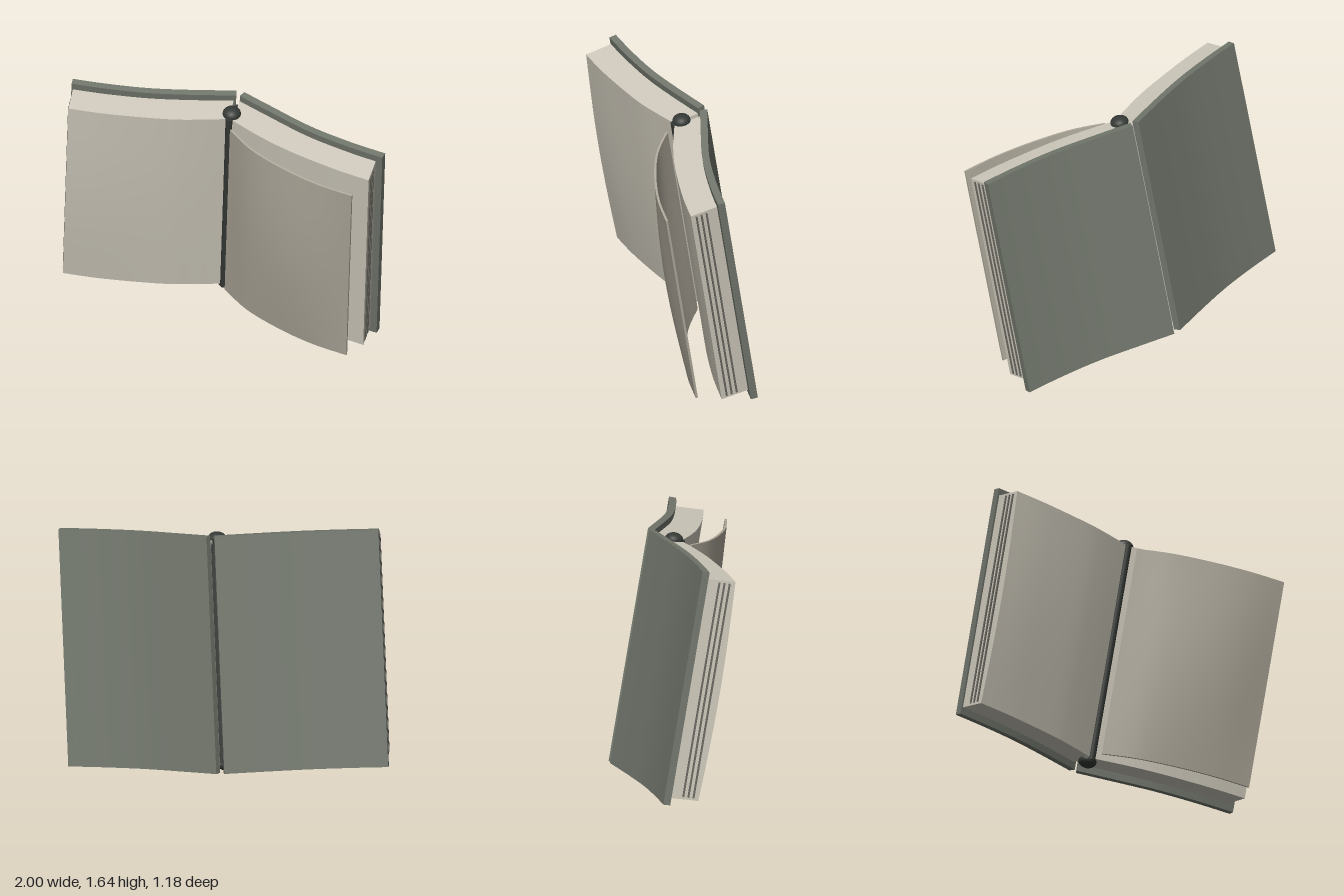
import * as THREE from 'three';
import { toCreasedNormals } from 'three/addons/utils/BufferGeometryUtils.js';

const coverMat = new THREE.MeshStandardMaterial({ color: 0x72776d });
const pageMat = new THREE.MeshStandardMaterial({ color: 0xcfcabc });
const sheetMat = new THREE.MeshStandardMaterial({ color: 0xb0aa9c });
const darkMat = new THREE.MeshStandardMaterial({ color: 0x363a36 });
const lineMat = new THREE.MeshStandardMaterial({ color: 0x6c6a62 });

const SEGMENTS = 24;
const sample = (pts) => new THREE.SplineCurve(pts.map(([x, z]) => new THREE.Vector2(x, z))).getPoints(SEGMENTS);

// Curve shifted towards the reader by a constant thickness
function offset(pts, t) {
  const curve = new THREE.SplineCurve(pts.map(([x, z]) => new THREE.Vector2(x, z)));
  return curve.getPoints(SEGMENTS).map((p, i) => {
    const d = curve.getTangent(i / SEGMENTS);
    return new THREE.Vector2(p.x - d.y * t, p.y + d.x * t);
  });
}

// Solid between a back and a front curve (x, z), standing from y0 to y1.
// bow(x, z) gives the sideways shift [dx, dz] reached at half height.
function slab(name, back, front, y0, y1, material, bow) {
  const outline = [...back, ...front.slice().reverse()].map((p) => new THREE.Vector2(p.x, -p.y));
  const geo = new THREE.ExtrudeGeometry(new THREE.Shape(outline), {
    depth: y1 - y0, steps: bow ? 14 : 1, bevelEnabled: false,
  });
  geo.rotateX(-Math.PI / 2);
  geo.translate(0, y0, 0);
  if (bow) {
    const pos = geo.attributes.position;
    for (let i = 0; i < pos.count; i++) {
      const x = pos.getX(i), z = pos.getZ(i);
      const k = Math.sin(Math.PI * (pos.getY(i) - y0) / (y1 - y0));
      const [dx, dz] = bow(x, z);
      pos.setX(i, x + dx * k);
      pos.setZ(i, z + dz * k);
    }
  }
  const mesh = new THREE.Mesh(toCreasedNormals(geo, 0.5), material);
  mesh.name = name;
  return mesh;
}

// Thin page lines along a fore-edge running from its back corner to its front corner
function pageLines(name, back, front) {
  const group = new THREE.Group();
  group.name = name;
  for (const t of [0.42, 0.61, 0.8]) {
    const line = new THREE.Mesh(new THREE.BoxGeometry(0.012, 1.38, 0.011), lineMat);
    line.position.set(
      THREE.MathUtils.lerp(back.x, front.x, t), 0.75, THREE.MathUtils.lerp(back.y, front.y, t));
    line.rotation.y = Math.atan2(front.x - back.x, front.y - back.y);
    line.name = 'pageLine';
    group.add(line);
  }
  return group;
}

export function createModel() {
  const model = new THREE.Group();
  model.name = 'openBook';
  const book = new THREE.Group();
  book.name = 'tiltedBook';
  book.position.y = 0.032;
  book.rotation.set(0.189, 0, -0.024);
  model.add(book);

  // Covers
  const coverA = [[-0.97, -0.606], [-0.75, -0.566], [-0.5, -0.535], [-0.25, -0.526], [0.045, -0.527]];
  const coverB = [[0.094, -0.515], [0.255, -0.396], [0.505, -0.218], [0.755, -0.082], [0.97, 0.014]];
  book.add(slab('rightCover', sample(coverA), offset(coverA, 0.045), 0, 1.5, coverMat));
  book.add(slab('leftCover', sample(coverB), offset(coverB, 0.045), 0, 1.5, coverMat));

  // Page blocks
  const backA = sample([[-0.968, -0.558], [-0.76, -0.521], [-0.5, -0.49], [-0.25, -0.481], [0.03, -0.482]]);
  const frontA = sample([[-0.997, -0.385], [-0.75, -0.341], [-0.4, -0.306], [-0.2, -0.305], [0, -0.317]]);
  const backB = sample([[0.068, -0.479], [0.23, -0.36], [0.48, -0.18], [0.735, -0.041], [0.912, 0.04]]);
  const frontB = sample([[0.02, -0.305], [0.2, -0.158], [0.384, -0.033], [0.65, 0.114], [0.868, 0.213]]);
  const bowFront = (x, z) => [0, z > -0.43 ? 0.022 * Math.min(1, -x + 0.1) : 0];
  book.add(slab('rightPages', backA, frontA, 0.045, 1.455, pageMat, bowFront));
  book.add(slab('leftPages', backB, frontB, 0.045, 1.455, pageMat));
  book.add(pageLines('rightPageLines', backA[0], frontA[0]));
  book.add(pageLines('leftPageLines', backB[SEGMENTS], frontB[SEGMENTS]));

  // Turning page lifted off the block, bulging in its middle
  const sheet = [[0.018, -0.25], [0.15, -0.075], [0.34, 0.085], [0.55, 0.22], [0.768, 0.32]];
  const bulge = (x) => {
    const k = 0.035 * Math.sin(Math.PI * THREE.MathUtils.clamp((x - 0.018) / 0.75, 0, 1));
    return [-0.55 * k, 0.83 * k];
  };
  book.add(slab('turningPage', sample(sheet), offset(sheet, 0.014), 0.068, 1.431, sheetMat, bulge));

  // Spine rod with rounded ends, and the hinge behind it
  const rod = new THREE.Mesh(new THREE.CylinderGeometry(0.024, 0.024, 1.43, 24), darkMat);
  rod.name = 'spineRod';
  rod.position.set(0.003, 0.745, -0.318);
  book.add(rod);
  for (const y of [0.033, 1.46]) {
    const knob = new THREE.Mesh(new THREE.SphereGeometry(0.057, 32, 20), darkMat);
    knob.name = 'spineKnob';
    knob.scale.y = 0.72;
    knob.position.set(0.018, y, -0.362);
    book.add(knob);
  }
  const hinge = new THREE.Mesh(new THREE.BoxGeometry(0.035, 1.38, 0.12), darkMat);
  hinge.name = 'spineHinge';
  hinge.position.set(0.04, 0.745, -0.41);
  hinge.rotation.y = -0.35;
  book.add(hinge);

  return model;
}
